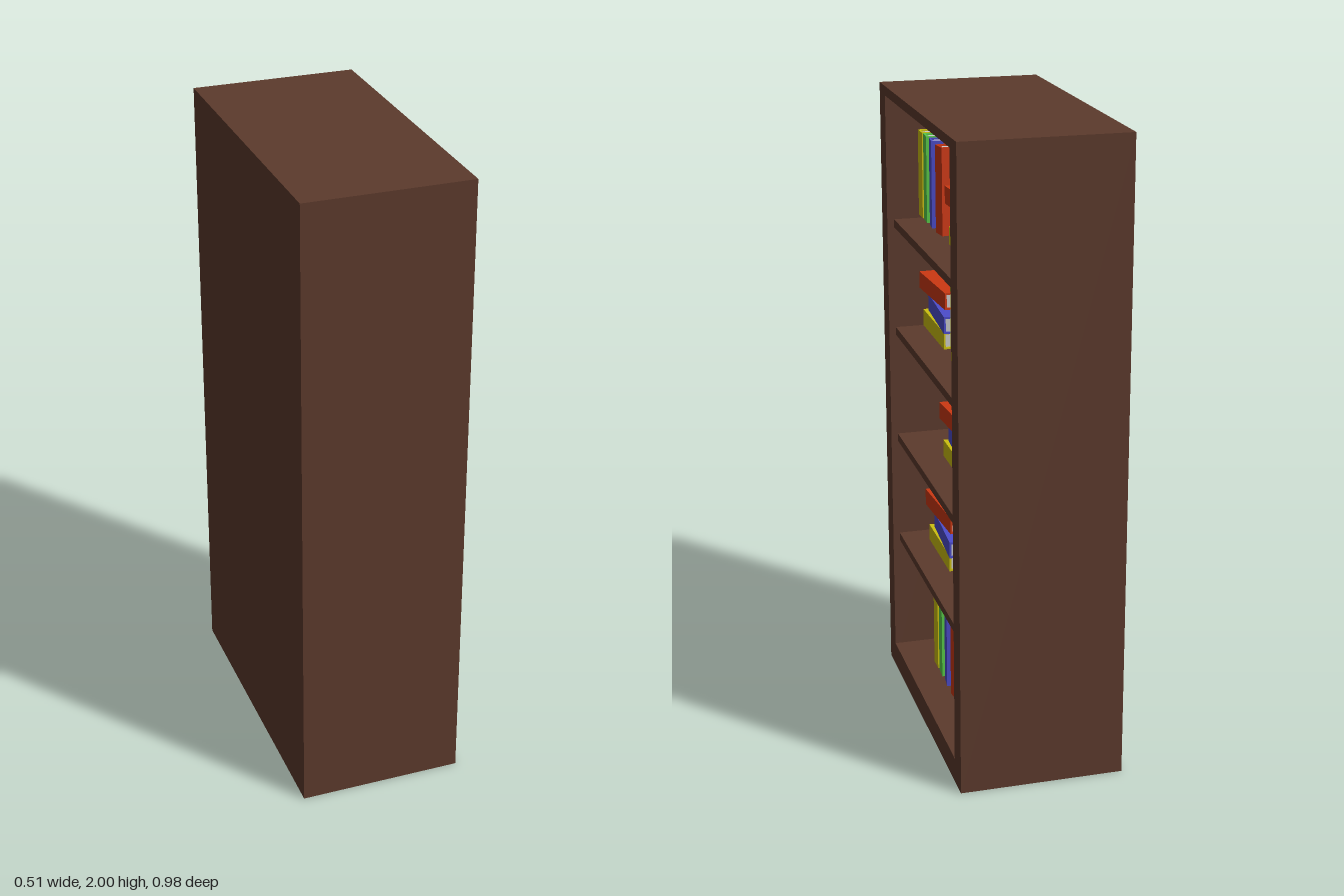
import * as THREE from 'three';

const mat = (color) => new THREE.MeshStandardMaterial({ color });
const wood = mat(0x5c3a2c);
const paper = mat(0xcccccc);
const yellow = mat(0xccc010), green = mat(0x5acc4a), blue = mat(0x4d4dcc), red = mat(0xcc3812);

// Box given by its lower and upper corners
function box(name, material, [x0, y0, z0], [x1, y1, z1]) {
  const mesh = new THREE.Mesh(new THREE.BoxGeometry(x1 - x0, y1 - y0, z1 - z0), material);
  mesh.name = name;
  mesh.position.set((x0 + x1) / 2, (y0 + y1) / 2, (z0 + z1) / 2);
  return mesh;
}

// Case outline and wall thicknesses; the open side faces +x
const X = 0.257, Z = 0.49, H = 2, WALL = 0.075, BACK = 0.04;
const SPINE_X = 0.16;
const BOOK = { depth: 0.19, height: 0.273, thick: 0.054, board: 0.006, inset: 0.006 };

// Book standing around its own centre, spine at x = 0 facing +x
function book(name, cover) {
  const { depth: d, height, thick, board: b, inset } = BOOK;
  const h = height / 2, t = thick / 2;
  const g = new THREE.Group();
  g.name = name;
  g.add(
    box('spine', cover, [-b, -h, -t], [0, h, t]),
    box('frontCover', cover, [-d, -h, t - b], [-b, h, t]),
    box('backCover', cover, [-d, -h, -t], [-b, h, b - t]),
    box('pages', paper, [inset - d, inset - h, b - t], [-b, h - inset, t - b])
  );
  return g;
}

// Upright books: distance along the row and turn
const ROW = [['yellowBook', yellow, 0, 0], ['greenBook', green, 0.064, -0.06],
  ['blueBook', blue, 0.136, -0.11], ['redBook', red, 0.243, 0.14]];

function bookRow(y, z) {
  const g = new THREE.Group();
  g.name = 'bookRow';
  for (const [name, cover, offset, turn] of ROW) {
    const b = book(name, cover);
    b.position.set(SPINE_X, y + BOOK.height / 2, z - offset - BOOK.thick / 2);
    b.rotation.y = turn;
    g.add(b);
  }
  return g;
}

// Lying books: slide along the shelf and turn
const PILE = [['yellowBook', yellow, 0, 0], ['blueBook', blue, 0.036, -0.06], ['redBook', red, -0.014, 0.06]];

function bookPile(y, z) {
  const g = new THREE.Group();
  g.name = 'bookPile';
  PILE.forEach(([name, cover, offset, turn], i) => {
    const b = book(name, cover);
    b.rotation.set(Math.PI / 2, turn, 0, 'YXZ');
    b.position.set(SPINE_X, y + BOOK.thick / 2 + i * 0.061, z - offset - BOOK.height / 2);
    g.add(b);
  });
  return g;
}

export function createModel() {
  const model = new THREE.Group();
  model.name = 'bookcase';
  const zi = Z - WALL;

  // Case with a hollow base behind the plinth
  model.add(
    box('leftWall', wood, [-X, 0, zi], [X, H, Z]),
    box('rightWall', wood, [-X, 0, -Z], [X, H, -zi]),
    box('backPanel', wood, [-X, 0, -zi], [BACK - X, H, zi]),
    box('topPanel', wood, [BACK - X, 1.97, -zi], [X, H, zi]),
    box('floorPanel', wood, [BACK - X, 0.07, -zi], [X, 0.08, zi]),
    box('plinth', wood, [X - BACK, 0, -zi], [X, 0.07, zi])
  );

  // Shelves, set slightly back from the opening
  for (const top of [0.49, 0.846, 1.214, 1.573]) {
    model.add(box('shelf', wood, [BACK - X, top - 0.026, -zi], [X - 0.022, top, zi]));
  }

  // Books
  for (const [y, z] of [[1.591, 0.385], [1.228, -0.019], [0.507, -0.082], [0.08, 0.247]]) {
    model.add(bookRow(y, z));
  }
  for (const [y, z] of [[1.591, -0.008], [1.236, 0.342], [0.878, 0.087], [0.506, 0.295]]) {
    model.add(bookPile(y, z));
  }
  return model;
}
